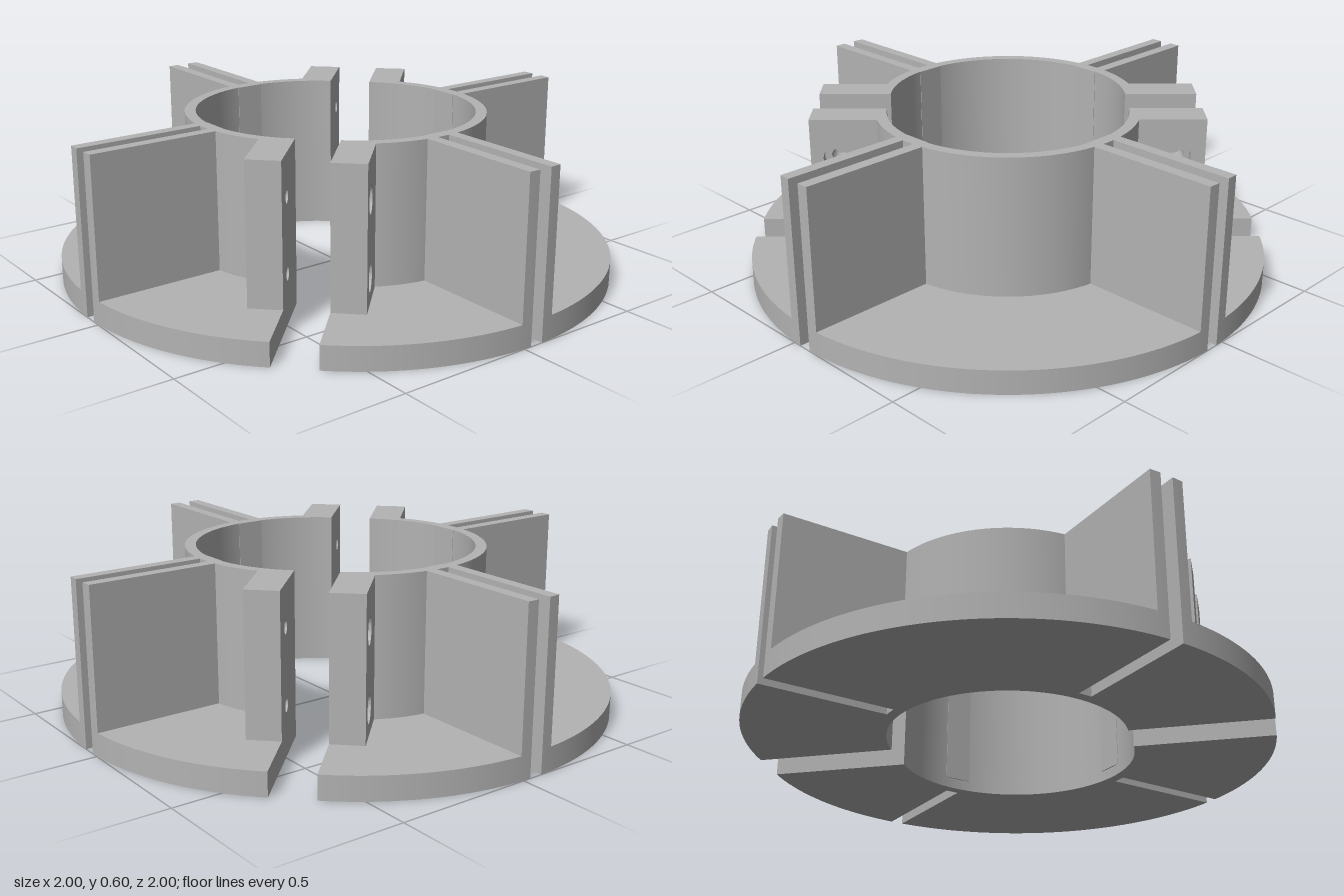
import * as THREE from 'three';
import { toCreasedNormals } from 'three/addons/utils/BufferGeometryUtils.js';

const R_IN = 0.435, R_WALL = 0.475, R_OUT = 0.945;
const BASE_H = 0.087, TOP = 0.597, OFFSET = 0.055;
const SLOT = 0.025, FIN = 0.042;                    // slot half width, fin thickness
const EAR_END = 0.7, EAR_DEPTH = 0.12, POCKET = 0.04;
const BOLT_U = 0.605, BOLT_Y = [0.18, 0.45];
const SLOT_ANGLES = [Math.PI / 4, Math.PI * 3 / 4];

const grey = new THREE.MeshStandardMaterial({ color: 0xb3b3b3 });
grey.name = 'grey';

function extrude(shape, depth) {
  const g = new THREE.ExtrudeGeometry(shape, { depth, bevelEnabled: false, curveSegments: 48 });
  return toCreasedNormals(g, 0.5);
}

// plan outline raised from y0 to y1
function raise(shape, y0, y1) {
  return extrude(shape, y1 - y0).rotateX(-Math.PI / 2).translate(0, y0, 0);
}

function add(group, geometry, name) {
  const mesh = new THREE.Mesh(geometry, grey);
  mesh.name = name;
  group.add(mesh);
  return mesh;
}

// half ring plate with two radial slots open at the rim
function baseShape() {
  const s = new THREE.Shape();
  s.moveTo(R_IN, 0);
  s.lineTo(R_OUT, 0);
  const a = Math.asin(SLOT / R_OUT), b = Math.atan(SLOT / R_WALL), r = Math.hypot(SLOT, R_WALL);
  let from = 0;
  for (const t of SLOT_ANGLES) {
    s.absarc(0, 0, R_OUT, from, t - a, false);
    s.lineTo(r * Math.cos(t - b), r * Math.sin(t - b));
    s.lineTo(r * Math.cos(t + b), r * Math.sin(t + b));
    from = t + a;
    s.lineTo(R_OUT * Math.cos(from), R_OUT * Math.sin(from));
  }
  s.absarc(0, 0, R_OUT, from, Math.PI, false);
  s.lineTo(-R_IN, 0);
  s.absarc(0, 0, R_IN, Math.PI, 0, true);
  return s;
}

function wallShape() {
  const s = new THREE.Shape();
  s.absarc(0, 0, R_WALL, 0, Math.PI, false);
  s.lineTo(-R_IN, 0);
  s.absarc(0, 0, R_IN, Math.PI, 0, true);
  s.closePath();
  return s;
}

// fin outline beside a slot, its end following the rim
function finShape(side) {
  const y0 = SLOT * side, y1 = (SLOT + FIN) * side;
  const rim = y => Math.sqrt(R_OUT * R_OUT - y * y);
  const pts = [[0.455, y0], [rim(y0), y0], [rim((y0 + y1) / 2), (y0 + y1) / 2], [rim(y1), y1], [0.455, y1]];
  return new THREE.Shape(pts.map(p => new THREE.Vector2(...p)));
}

// one layer of a clamp ear with its two bolt openings
function earLayer(side, radius, sides, z0, z1) {
  const u0 = 0.45 * side, u1 = EAR_END * side;
  const s = new THREE.Shape();
  s.moveTo(u0, BASE_H);
  s.lineTo(u1, BASE_H);
  s.lineTo(u1, TOP);
  s.lineTo(u0, TOP);
  s.closePath();
  for (const y of BOLT_Y) {
    const pts = [];
    for (let i = 0; i < sides; i++) {
      const t = Math.PI / 2 + i / sides * Math.PI * 2;
      pts.push(new THREE.Vector2(BOLT_U * side + radius * Math.cos(t), y + radius * Math.sin(t)));
    }
    s.holes.push(new THREE.Path(pts));
  }
  return extrude(s, z1 - z0).translate(0, 0, z0);
}

function createHalf() {
  const half = new THREE.Group();
  add(half, raise(baseShape(), 0, BASE_H), 'basePlate');
  add(half, raise(wallShape(), BASE_H, TOP), 'innerWall');

  // paired fins and the flat strip behind each slot
  SLOT_ANGLES.forEach(angle => {
    const slot = new THREE.Group();
    slot.name = 'slotGuide';
    slot.rotation.y = angle;
    for (const side of [-1, 1]) add(slot, raise(finShape(side), BASE_H, TOP), 'fin');
    const strip = new THREE.BoxGeometry(0.045, TOP - 0.04, 0.104);
    strip.translate(0.4525, (TOP + 0.04) / 2, 0);
    add(slot, strip, 'slotStrip');
    half.add(slot);
  });

  // clamp ears: round bolt-head pockets on one, hexagonal nut pockets on the other
  for (const side of [1, -1]) {
    const ear = new THREE.Group();
    ear.name = side > 0 ? 'boltEar' : 'nutEar';
    add(ear, earLayer(side, 0.025, 24, POCKET - EAR_DEPTH, 0), 'earPlate');
    add(ear, earLayer(side, 0.05, side > 0 ? 32 : 6, -EAR_DEPTH, POCKET - EAR_DEPTH), 'earPocketPlate');
    half.add(ear);
  }
  return half;
}

export function createModel() {
  const model = new THREE.Group();
  model.name = 'splitClampRing';
  // two identical halves facing each other across a diagonal gap
  [-1, 1].forEach((s, i) => {
    const half = createHalf();
    half.name = i ? 'frontHalf' : 'backHalf';
    half.rotation.y = Math.PI / 4 + i * Math.PI;
    half.position.set(s * OFFSET, 0, s * OFFSET);
    model.add(half);
  });
  return model;
}
